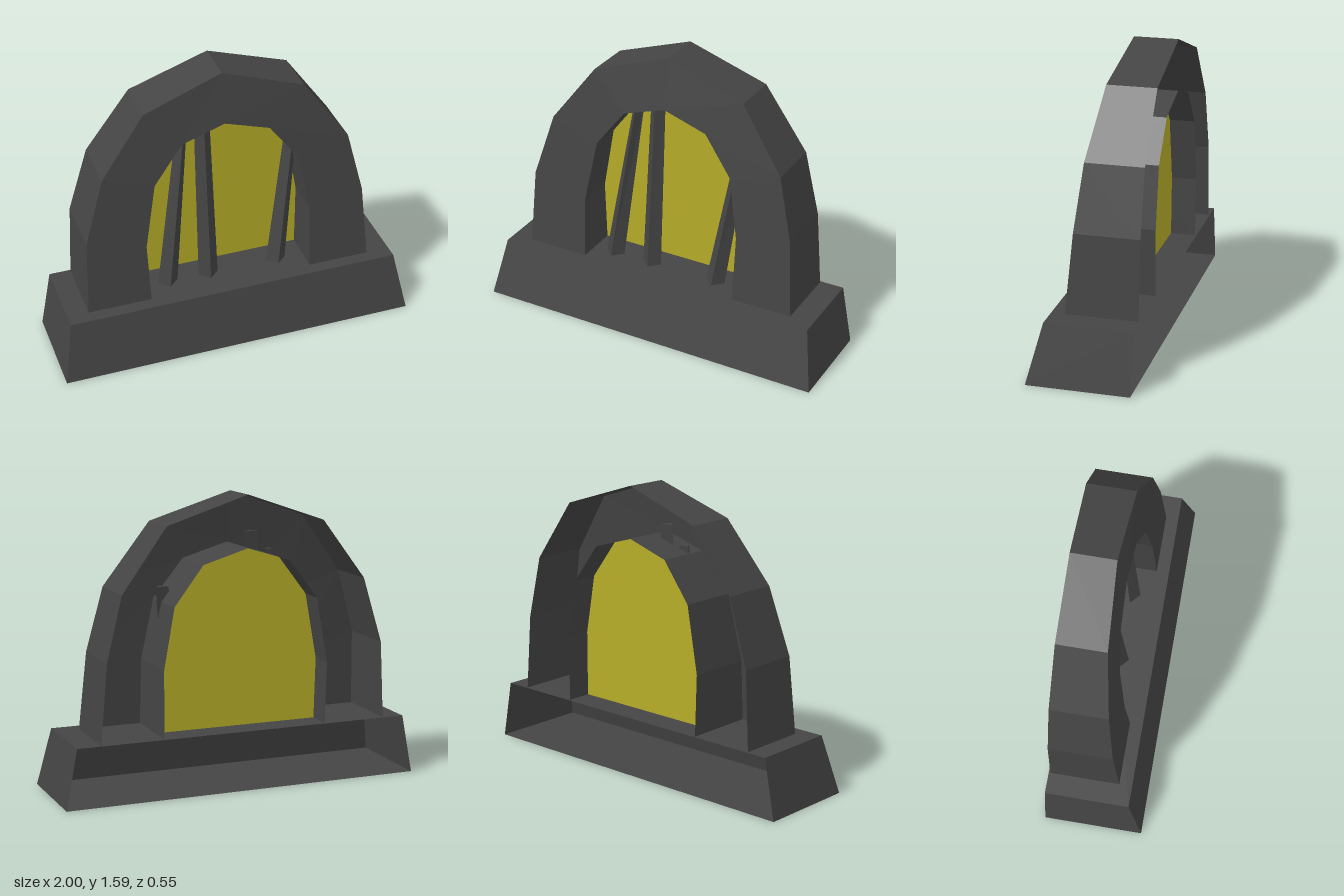
import * as THREE from 'three';

const stone = new THREE.MeshStandardMaterial({ color: 0x444444, flatShading: true, side: THREE.DoubleSide });
const glass = new THREE.MeshStandardMaterial({ color: 0xb5ad28, flatShading: true, side: THREE.DoubleSide });

const BASE_TOP = 0.325, BACK = -0.266, PANE_Z = -0.125;

// Arch outlines as [x, y], from the foot at -x over the crown to the foot at +x
const outer = [[-0.82, 0.325], [-0.8, 0.75], [-0.69, 1.11], [-0.445, 1.435], [-0.01, 1.585],
  [0.44, 1.44], [0.685, 1.1], [0.77, 0.75], [0.805, 0.325]];
const inner = [[-0.465, 0.325], [-0.475, 0.66], [-0.41, 1.02], [-0.25, 1.23], [-0.01, 1.305],
  [0.24, 1.23], [0.4, 1.02], [0.46, 0.69], [0.46, 0.325]];

// The front of the arch leans back with height
const lean = [[0.325, 0.12], [0.75, 0.083], [1.1, 0.047], [1.305, 0.022], [1.44, 0], [1.585, -0.025]];
function frontZ(y) {
  let i = 1;
  while (i < lean.length - 1 && y > lean[i][0]) i++;
  const [y0, z0] = lean[i - 1], [y1, z1] = lean[i];
  return z0 + (z1 - z0) * (y - y0) / (y1 - y0);
}

// Surface spanned between two point rows of equal length
function strip(a, b, closed = false) {
  const pos = [], n = a.length;
  for (let i = 0; i < (closed ? n : n - 1); i++) {
    const j = (i + 1) % n;
    pos.push(...a[i], ...a[j], ...b[j], ...a[i], ...b[j], ...b[i]);
  }
  const g = new THREE.BufferGeometry();
  g.setAttribute('position', new THREE.Float32BufferAttribute(pos, 3));
  g.computeVertexNormals();
  return g;
}

function add(parent, name, geometry, material = stone) {
  const mesh = new THREE.Mesh(geometry, material);
  mesh.name = name;
  parent.add(mesh);
  return mesh;
}

// Tapered sill, open at the back
function createSill() {
  const g = new THREE.Group();
  g.name = 'sill';
  const low = [[-1, 0, -0.275], [-1, 0, 0.275], [1, 0, 0.275], [1, 0, -0.275]];
  const high = [[-0.938, BASE_TOP, -0.275], [-0.938, BASE_TOP, 0.192], [0.938, BASE_TOP, 0.192], [0.938, BASE_TOP, -0.275]];
  add(g, 'sillSides', strip(low, high));
  add(g, 'sillTop', strip([high[1], high[2]], [high[0], high[3]]));
  add(g, 'sillBottom', strip([low[0], low[3]], [low[1], low[2]]));
  return g;
}

// Arch shell: outside, leaning front and inner reveal, open at the back
function createArch() {
  const g = new THREE.Group();
  g.name = 'arch';
  const front = (row) => row.map(([x, y]) => [x, y, frontZ(y)]);
  const back = (row) => row.map(([x, y]) => [x, y, BACK]);
  add(g, 'archOutside', strip(front(outer), back(outer)));
  add(g, 'archFront', strip(front(inner), front(outer)));
  add(g, 'archReveal', strip(back(inner), front(inner)));
  return g;
}

// Leaning three-sided bar with its ridge to the front
function createBar(name, foot, head) {
  const section = ({ x, y, z, w, d }) => [[x - w, y, z], [x, y, z + d], [x + w, y, z]];
  const g = new THREE.Group();
  g.name = name;
  const a = section(foot), b = section(head);
  add(g, name + 'Sides', strip(a, b, true));
  add(g, name + 'Cap', strip([b[0], b[1]], [b[0], b[2]]));
  return g;
}

export function createModel() {
  const model = new THREE.Group();
  model.name = 'archedWindow';
  model.add(createSill(), createArch());

  const pane = new THREE.Shape(inner.map(([x, y]) => new THREE.Vector2(x, y)));
  add(model, 'pane', new THREE.ShapeGeometry(pane), glass).position.z = PANE_Z;

  // Bars: foot x, head x, head height, head depth, head half width
  const bars = [
    [-0.335, -0.215, 1.27, -0.08, 0.03],
    [-0.1, -0.103, 1.37, -0.09, 0.042],
    [0.298, 0.4, 1.1, -0.08, 0.036],
  ];
  bars.forEach(([x0, x1, y, z, w], i) => model.add(createBar('bar' + (i + 1),
    { x: x0, y: BASE_TOP, z: 0, w: 0.056, d: 0.052 },
    { x: x1, y, z, w, d: 0.04 })));

  return model;
}
